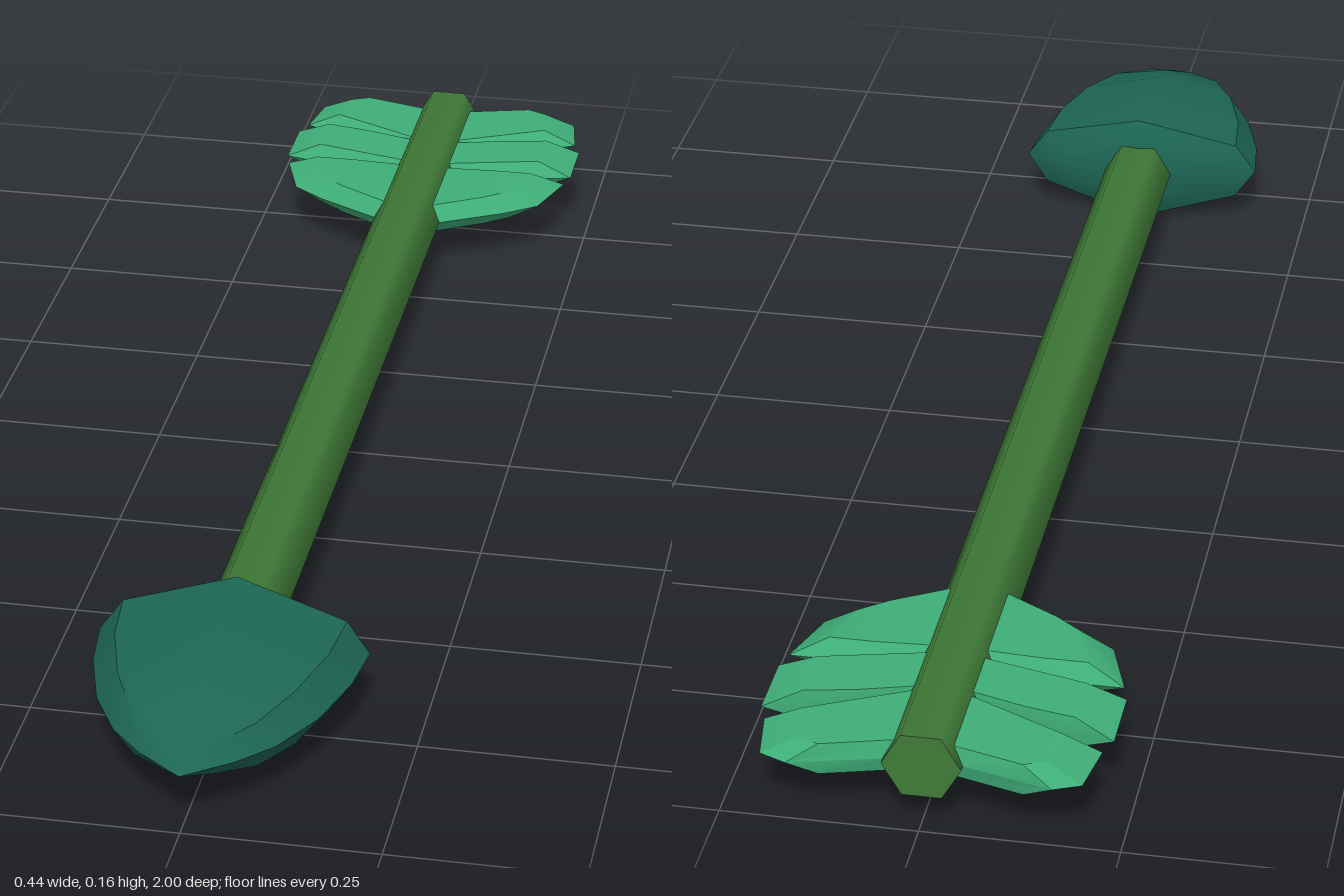
import * as THREE from 'three';
import { toCreasedNormals } from 'three/addons/utils/BufferGeometryUtils.js';

const AXIS_Y = 0.085;

// Skin closed rings (clockwise seen from the loft direction) and cap both ends.
function loft(rings, startCentre, endCentre, crease) {
  const n = rings[0].length, last = (rings.length - 1) * n;
  const points = [...rings.flat(), startCentre, endCentre];
  const start = points.length - 2, end = points.length - 1;
  const index = [];
  for (let j = 0; j < n; j++) {
    const k = (j + 1) % n;
    for (let i = 0; i < last; i += n) {
      index.push(i + j, i + n + j, i + k, i + k, i + n + j, i + n + k);
    }
    index.push(start, j, k, end, last + k, last + j);
  }
  const geometry = new THREE.BufferGeometry();
  geometry.setAttribute('position', new THREE.Float32BufferAttribute(points.flat(), 3));
  geometry.setIndex(index);
  return toCreasedNormals(geometry, crease);
}

// Arrowhead: eight-sided sections running from the back to the tip.
function headGeometry() {
  // z, half width, shoulder x, shoulder y, half height, sweep of the sides
  const stations = [
    [0.632, 0.13, 0.1, 0.025, 0.05, 0.02],
    [0.65, 0.175, 0.145, 0.042, 0.081, 0.022],
    [0.75, 0.166, 0.137, 0.041, 0.077, 0],
    [0.84, 0.14, 0.112, 0.038, 0.064, 0],
    [0.91, 0.102, 0.078, 0.031, 0.043, 0],
    [0.955, 0.06, 0.032, 0.02, 0.022, 0],
  ];
  const rings = stations.map(([z, w, b, c, h, sweep]) =>
    [[0, h], [b, c], [w, 0], [b, -c], [0, -h], [-b, -c], [-w, 0], [-b, c]]
      .map(([x, y]) => [x, y, z + sweep * Math.abs(x) / w]));
  return loft(rings, [0, 0, 0.632], [0, 0, 1], 0.6);
}

// Feather barb: an outline at mid height, bevelled to smaller flat faces.
function barbGeometry(outline, side) {
  const pts = outline.map(([x, z]) => [x * side, z]);
  if (side < 0) pts.reverse();
  const zs = outline.map(p => p[1]);
  const mid = (Math.min(...zs) + Math.max(...zs)) / 2;
  const ring = (y, sx, sz) => pts.map(([x, z]) => [x * sx, y, mid + (z - mid) * sz]);
  const h = 0.022, cx = 0.09 * side;
  return loft([ring(-h, 0.77, 0.82), ring(0, 1, 1), ring(h, 0.77, 0.82)],
    [cx, -h, mid], [cx, h, mid], 0.5);
}

export function createModel() {
  const model = new THREE.Group();
  model.name = 'arrow';
  const wood = new THREE.MeshStandardMaterial({ color: 0x3f7a37 });
  const headMaterial = new THREE.MeshStandardMaterial({ color: 0x1d6654 });
  const featherMaterial = new THREE.MeshStandardMaterial({ color: 0x3fae78 });

  // Hexagonal shaft with flat top and bottom
  const shaftGeometry = new THREE.CylinderGeometry(0.05, 0.05, 1.66, 6);
  shaftGeometry.rotateY(Math.PI / 2).rotateX(Math.PI / 2).rotateZ(Math.PI / 2);
  // Turn the corners to the left and right
  shaftGeometry.rotateZ(Math.PI / 2 - cornerAngle(shaftGeometry) - Math.PI / 2);
  const shaft = new THREE.Mesh(shaftGeometry, wood);
  shaft.name = 'shaft';
  shaft.position.set(0, AXIS_Y, -0.15);
  model.add(shaft);

  const head = new THREE.Mesh(headGeometry(), headMaterial);
  head.name = 'arrowhead';
  head.position.y = AXIS_Y;
  model.add(head);

  // Three barbs per feather, listed from the rear, as x and z
  const barbs = [
    [[0.02, -0.96], [0.05, -0.97], [0.165, -1], [0.2, -0.985], [0.212, -0.91], [0.05, -0.835], [0.02, -0.83]],
    [[0.02, -0.84], [0.05, -0.845], [0.14, -0.87], [0.222, -0.885], [0.222, -0.79], [0.05, -0.75], [0.02, -0.745]],
    [[0.02, -0.76], [0.05, -0.76], [0.14, -0.765], [0.215, -0.765], [0.187, -0.68], [0.14, -0.645], [0.05, -0.595], [0.02, -0.58]],
  ];
  for (const side of [1, -1]) {
    const feather = new THREE.Group();
    feather.name = side > 0 ? 'leftFeather' : 'rightFeather';
    feather.position.y = AXIS_Y;
    barbs.forEach((outline, i) => {
      const barb = new THREE.Mesh(barbGeometry(outline, side), featherMaterial);
      barb.name = `barb${i + 1}`;
      feather.add(barb);
    });
    model.add(feather);
  }
  return model;
}

// Angle of the first shaft corner around the z axis
function cornerAngle(geometry) {
  const p = geometry.attributes.position;
  return Math.atan2(p.getY(0), p.getX(0));
}
